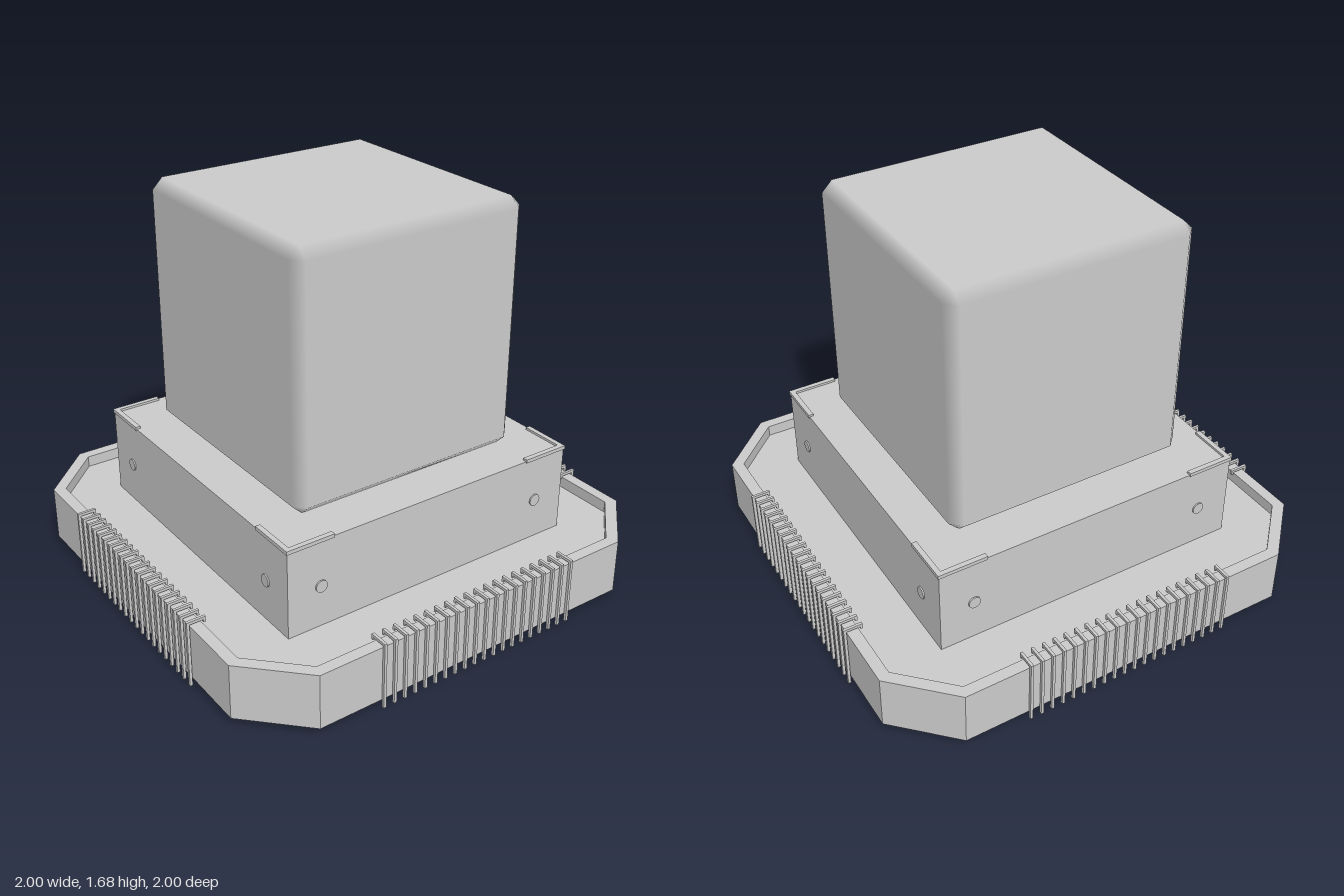
import * as THREE from 'three';
import { ConvexGeometry } from 'three/addons/geometries/ConvexGeometry.js';

const material = new THREE.MeshStandardMaterial({ color: 0xcccccc });

function add(parent, name, geometry, x = 0, y = 0, z = 0) {
  const mesh = new THREE.Mesh(geometry, material);
  mesh.name = name;
  mesh.position.set(x, y, z);
  parent.add(mesh);
  return mesh;
}

// Square with cut corners: h is the half width, c where the cut begins
function octagon(h, c) {
  return [[c, h], [-c, h], [-h, c], [-h, -c], [-c, -h], [c, -h], [h, -c], [h, c]]
    .map(([x, y]) => new THREE.Vector2(x, y));
}

// Horizontal slab of a shape, standing on y = 0
function slab(shape, height) {
  return new THREE.ExtrudeGeometry(shape, { depth: height, bevelEnabled: false }).rotateX(-Math.PI / 2);
}

// Cube with chamfered edges whose shading blends between the flat faces
function chamferedBox(w, h, d, c) {
  const half = [w / 2, h / 2, d / 2], points = [];
  for (const sx of [-1, 1]) for (const sy of [-1, 1]) for (const sz of [-1, 1])
    for (let axis = 0; axis < 3; axis++) {
      const p = [sx, sy, sz].map((s, i) => s * (half[i] - (i === axis ? 0 : c)));
      points.push(new THREE.Vector3(...p));
    }
  const geometry = new ConvexGeometry(points);
  const pos = geometry.attributes.position, normal = geometry.attributes.normal;
  for (let i = 0; i < pos.count; i++) {
    const p = [pos.getX(i), pos.getY(i), pos.getZ(i)];
    normal.setXYZ(i, ...p.map((v, k) => (Math.abs(v) > half[k] - c / 2 ? Math.sign(v) : 0)));
  }
  return geometry;
}

export function createModel() {
  const model = new THREE.Group();
  model.name = 'cubeOnPedestal';

  // Base tray: solid floor and a raised rim
  add(model, 'trayFloor', slab(new THREE.Shape(octagon(0.985, 0.75)), 0.19), 0, 0.03, 0);
  const rim = new THREE.Shape(octagon(0.985, 0.75));
  rim.holes.push(new THREE.Path(octagon(0.935, 0.73)));
  add(model, 'trayRim', slab(rim, 0.05), 0, 0.22, 0);

  // Pedestal block and the cube resting on it
  add(model, 'pedestal', new THREE.BoxGeometry(1.38, 0.38, 1.38), 0, 0.41, 0);
  add(model, 'cube', chamferedBox(1.075, 1.08, 1.075, 0.046), 0, 1.14, 0);

  // Hooked pin profile: leg outside the tray, arm over the rim, short tip
  const hook = new THREE.Shape([
    [0.988, 0], [1, 0], [1, 0.292], [0.918, 0.292], [0.918, 0.268],
    [0.928, 0.268], [0.928, 0.28], [0.988, 0.28],
  ].map(([x, y]) => new THREE.Vector2(x, y)));
  const pin = new THREE.ExtrudeGeometry(hook, { depth: 0.012, bevelEnabled: false })
    .translate(0, 0, -0.006).rotateY(-Math.PI / 2);

  // L-shaped corner bracket on the pedestal top
  const bracket = new THREE.Shape([
    [0.694, -0.694], [0.694, -0.48], [0.672, -0.48], [0.672, -0.672], [0.48, -0.672], [0.48, -0.694],
  ].map(([x, y]) => new THREE.Vector2(x, y)));
  const bracketGeometry = slab(bracket, 0.016);
  const rivet = new THREE.CylinderGeometry(0.026, 0.026, 0.012, 20).rotateX(Math.PI / 2);

  // The same fittings on each of the four sides
  for (let s = 0; s < 4; s++) {
    const side = new THREE.Group();
    side.name = 'side' + (s + 1);
    side.rotation.y = s * Math.PI / 2;
    for (let i = 0; i < 20; i++) add(side, 'pin', pin, (i - 9.5) * 0.0492, 0, 0);
    for (const x of [-0.54, 0.54]) add(side, 'rivet', rivet, x, 0.4, 0.69);
    add(side, 'cornerBracket', bracketGeometry, 0, 0.594, 0);
    model.add(side);
  }
  return model;
}
